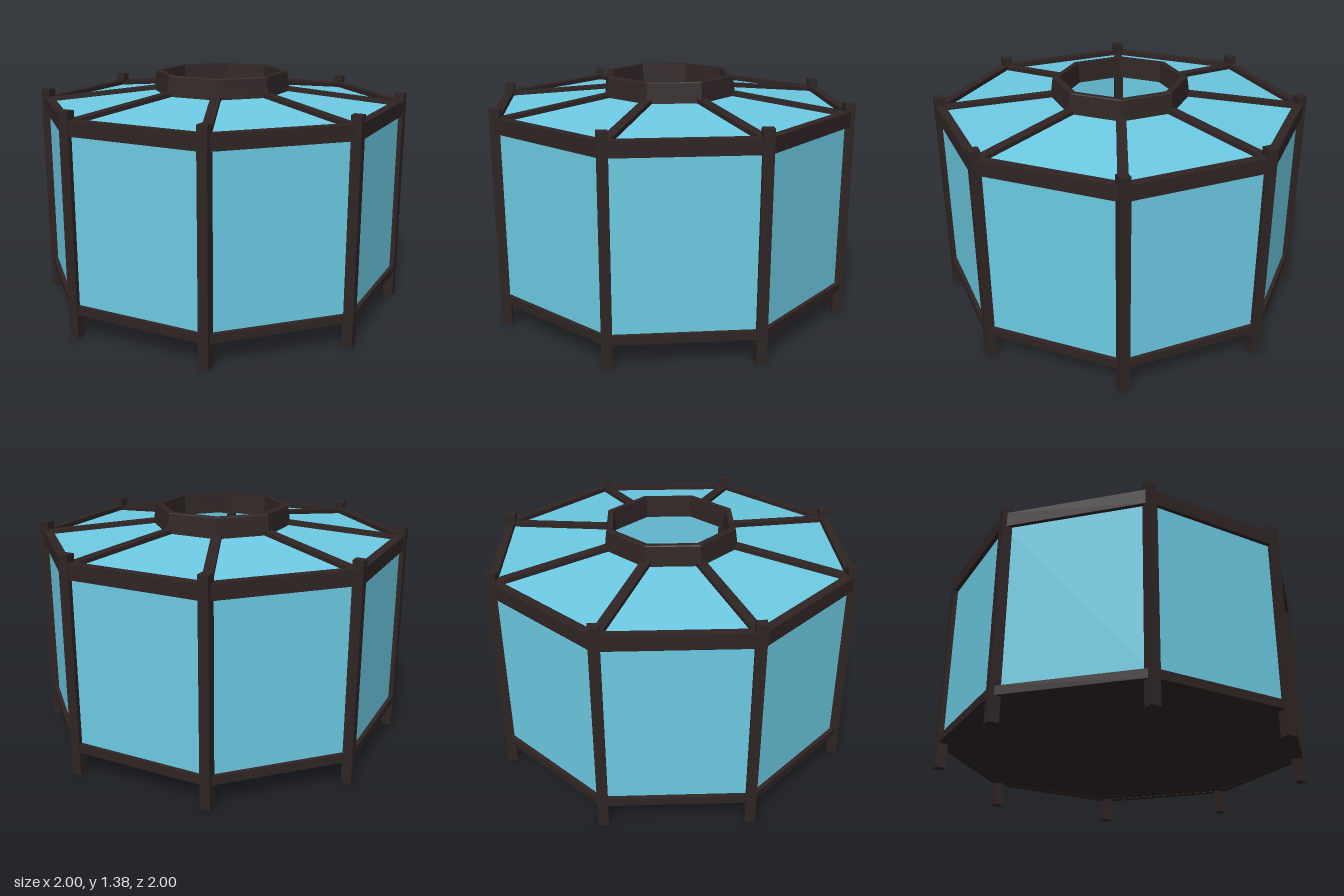
import * as THREE from 'three';

const SIDES = 8;
const STEP = (Math.PI * 2) / SIDES;
const HALF = STEP / 2;
const toRadius = (apothem) => apothem / Math.cos(HALF);

// Eight-sided surface swept from [apothem, y] points; outer side runs upwards
function octagon(name, profile, material) {
  const points = profile.map(([a, y]) => new THREE.Vector2(toRadius(a), y));
  const mesh = new THREE.Mesh(new THREE.LatheGeometry(points, SIDES, HALF), material);
  mesh.name = name;
  return mesh;
}

// Closed ring with a rectangular section
function rail(name, inner, outer, bottom, top, material) {
  return octagon(name, [
    [inner, bottom], [outer, bottom], [outer, top], [inner, top], [inner, bottom],
  ], material);
}

export function createModel() {
  const frame = new THREE.MeshStandardMaterial({ color: 0x2f2424, flatShading: true });
  frame.name = 'darkFrame';
  const glass = new THREE.MeshStandardMaterial({ color: 0x6ccae3, flatShading: true, side: THREE.DoubleSide });
  glass.name = 'blueGlass';

  const model = new THREE.Group();
  model.name = 'octagonalPavilion';

  // Floor and the rails that carry the wall panes
  const floor = new THREE.Mesh(
    new THREE.CylinderGeometry(toRadius(0.98), toRadius(0.98), 0.03, SIDES, 1, false, HALF), frame);
  floor.name = 'floor';
  floor.position.y = 0.157;
  model.add(floor);
  model.add(rail('bottomRail', 0.945, 0.995, 0.14, 0.19, frame));
  model.add(rail('topRail', 0.945, 0.995, 1.13, 1.215, frame));

  // Wall panes and sloping roof panes
  model.add(octagon('wallGlass', [[0.972, 0.18], [0.972, 1.14]], glass));
  model.add(octagon('roofGlass', [[0.955, 1.187], [0.345, 1.269]], glass));

  // Open crown ring, tapering towards its top
  model.add(octagon('crownRing', [
    [0.315, 1.26], [0.373, 1.265], [0.358, 1.375], [0.353, 1.38], [0.325, 1.38], [0.315, 1.26],
  ], frame));

  // Square corner posts and the roof beams that meet them
  const postGeometry = new THREE.BoxGeometry(0.058, 1.26, 0.058);
  const outer = toRadius(0.96), inner = toRadius(0.345);
  const yOuter = 1.185, yInner = 1.268;
  const beamGeometry = new THREE.BoxGeometry(0.055, 0.046, Math.hypot(outer - inner, yInner - yOuter));
  for (let i = 0; i < SIDES; i++) {
    const angle = HALF + i * STEP;

    const post = new THREE.Mesh(postGeometry, frame);
    post.name = 'cornerPost';
    post.position.set(toRadius(0.97) * Math.sin(angle), 0.63, toRadius(0.97) * Math.cos(angle));
    model.add(post);

    const arm = new THREE.Group();
    arm.name = 'roofBeam';
    arm.rotation.y = angle;
    const beam = new THREE.Mesh(beamGeometry, frame);
    beam.name = 'beam';
    beam.position.set(0, (yOuter + yInner) / 2, (outer + inner) / 2);
    beam.rotation.x = Math.atan2(yInner - yOuter, outer - inner);
    arm.add(beam);
    model.add(arm);
  }
  return model;
}
